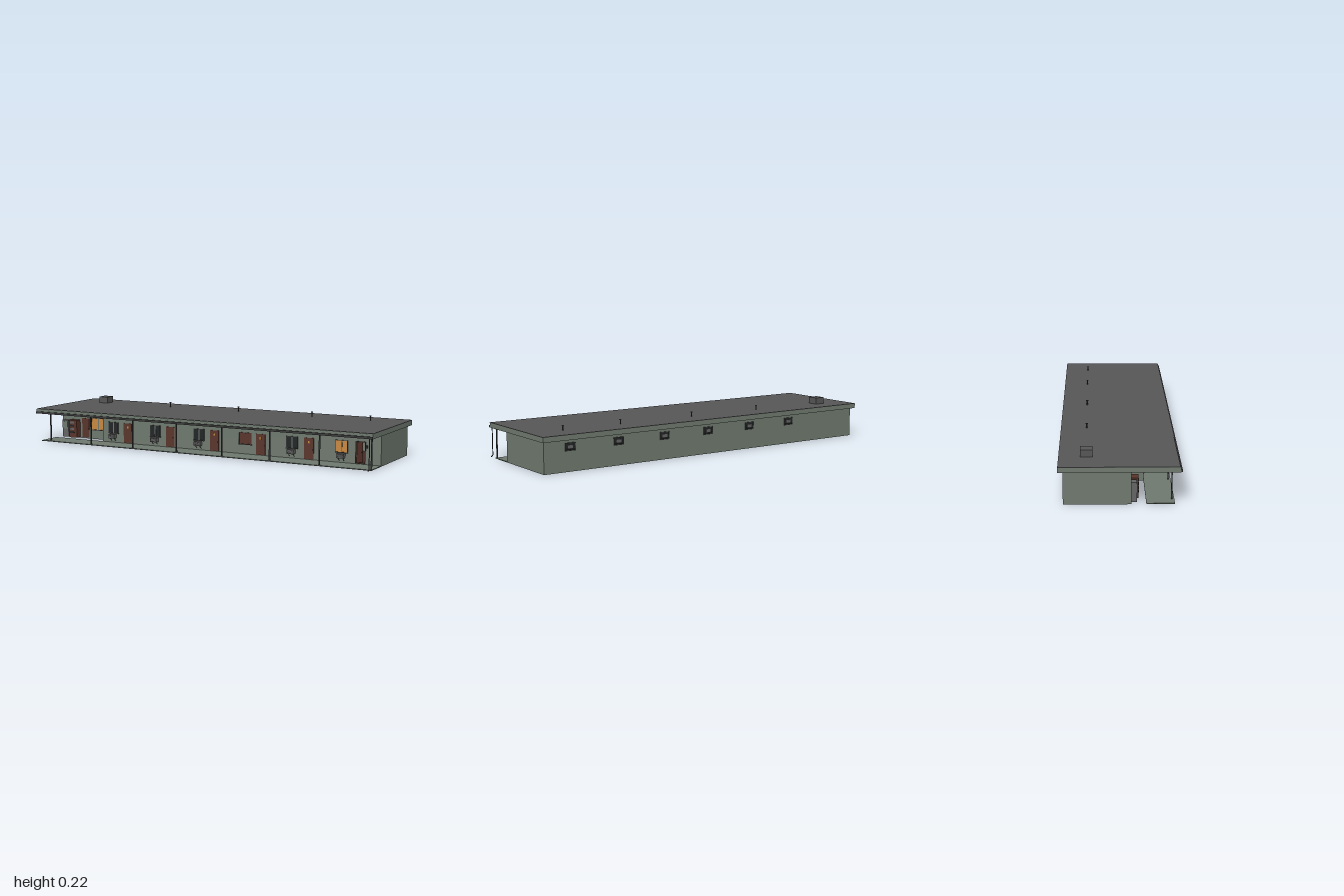
import * as THREE from 'three';

const mat = (name, color, side = THREE.FrontSide) => {
  const m = new THREE.MeshStandardMaterial({ color, side });
  m.name = name;
  return m;
};

export function createModel() {
  const wall = mat('wall green', 0x6f796f);
  const roofGrey = mat('roof grey', 0x565656);
  const metal = mat('dark metal', 0x3a3a3a);
  const grey = mat('appliance grey', 0x646464);
  const glass = mat('dark glass', 0x222526);
  const brown = mat('door brown', 0x5a352b);
  const amber = mat('warm light', 0xc98840);
  const floorBrown = mat('floor brown', 0x452a26);

  const model = new THREE.Group();
  model.name = 'roadsideLodge';

  const group = (name, x = 0, y = 0, z = 0) => {
    const g = new THREE.Group();
    g.name = name;
    g.position.set(x, y, z);
    model.add(g);
    return g;
  };
  // Box from its limits on each axis
  const box = (name, m, [x0, x1], [y0, y1], [z0, z1], parent = model) => {
    const mesh = new THREE.Mesh(new THREE.BoxGeometry(x1 - x0, y1 - y0, z1 - z0), m);
    mesh.name = name;
    mesh.position.set((x0 + x1) / 2, (y0 + y1) / 2, (z0 + z1) / 2);
    parent.add(mesh);
    return mesh;
  };
  // Round bar through a list of points
  const pipe = (name, m, points, r, parent = model) => {
    const path = new THREE.CurvePath();
    const v = points.map(p => new THREE.Vector3(...p));
    for (let i = 1; i < v.length; i++) path.add(new THREE.LineCurve3(v[i - 1], v[i]));
    const mesh = new THREE.Mesh(new THREE.TubeGeometry(path, 24, r, 8), m);
    mesh.name = name;
    parent.add(mesh);
    return mesh;
  };

  const END = 0.985, FRONT = 0.113, BACK = -0.27, ALCOVE = 0.045;
  const TOP = 0.159, START = -0.66, BAY = 0.273, T = 0.006;

  // Walls: the last room has an open doorway
  const s = new THREE.Shape();
  s.moveTo(START, 0);
  s.lineTo(END, 0);
  s.lineTo(END, TOP);
  s.lineTo(START, TOP);
  s.closePath();
  const h = new THREE.Path();
  h.moveTo(0.853, 0.006);
  h.lineTo(0.853, 0.115);
  h.lineTo(0.901, 0.115);
  h.lineTo(0.901, 0.006);
  h.closePath();
  s.holes.push(h);
  const front = new THREE.Mesh(new THREE.ExtrudeGeometry(s, { depth: T, bevelEnabled: false }), wall);
  front.name = 'frontWall';
  front.position.z = FRONT - T;
  model.add(front);
  box('backWall', wall, [-END, END], [0, TOP], [BACK, BACK + T]);
  box('leftEndWall', wall, [END - T, END], [0, TOP], [BACK + T, FRONT - T]);
  box('rightEndWall', wall, [-END, -END + T], [0, TOP], [BACK + T, ALCOVE]);
  box('alcoveWall', wall, [-END + T, START], [0, TOP], [ALCOVE - T, ALCOVE]);
  for (const x of [START, START + 5 * BAY]) {
    box('partition', wall, [x, x + T], [0, TOP], [BACK + T, FRONT - T]);
  }
  box('officeFloor', wall, [-END + T, START], [0, 0.004], [BACK + T, ALCOVE - T]);
  box('roomFloor', floorBrown, [START + T, START + 5 * BAY], [0, 0.004], [BACK + T, FRONT - T]);
  box('lastRoomFloor', floorBrown, [START + 5 * BAY + T, END - T], [0, 0.004], [BACK + T, FRONT - T]);

  // Walkway and posts
  box('walkway', wall, [-END, END], [0, 0.004], [FRONT, 0.245]);
  for (let i = 0; i < 8; i++) {
    const x = -0.93 + i * BAY;
    box('porchPost', metal, [x - 0.003, x + 0.003], [0.004, TOP], [0.23, 0.236]);
  }

  // Roof, gutter and downspout
  box('roofFascia', wall, [-1, 1], [0.158, 0.183], [-0.293, 0.27]);
  box('roofTop', roofGrey, [-1, 1], [0.183, 0.185], [-0.293, 0.267]);
  box('gutter', metal, [-1, 1], [0.159, 0.17], [0.27, 0.277]);
  pipe('downspout', metal, [[END, 0.162, 0.275], [END, 0.012, 0.275], [END, 0.003, 0.293]], 0.0025);

  // Roof box and vent pipes
  box('roofVentBox', roofGrey, [-0.852, -0.795], [0.184, 0.22], [-0.192, -0.133]);
  for (const x of [-0.385, 0.05, 0.49, 0.82]) {
    const g = group('ventPipe', x, 0.184, -0.163);
    pipe('ventStem', metal, [[0, 0, 0], [0, 0.025, 0]], 0.003, g);
    const cap = new THREE.Mesh(new THREE.CylinderGeometry(0.006, 0.006, 0.003, 10), metal);
    cap.name = 'ventCap';
    cap.position.y = 0.025;
    g.add(cap);
  }

  // Window with its bottom left corner at the group origin
  const addWindow = (x, y, z, w, hgt, pane) => {
    const g = group('window', x, y, z);
    const f = 0.002;
    box('paneLeft', pane, [f, w / 2 - 0.003], [f, hgt - f], [0, 0.002], g);
    box('paneRight', pane, [w / 2 + 0.003, w - f], [f, hgt - f], [0, 0.002], g);
    box('mullion', pane === brown ? brown : wall, [w / 2 - 0.003, w / 2 + 0.003], [f, hgt - f], [0, 0.003], g);
    for (const a of [0, w - f]) box('frameSide', metal, [a, a + f], [0, hgt], [0, 0.004], g);
    box('frameTop', metal, [0, w], [hgt - f, hgt], [0, 0.004], g);
    box('sill', metal, [-0.002, w + 0.002], [-f, f], [0, 0.007], g);
  };
  const addDoor = (x, z, w) => {
    const g = group('door', x, 0.006, z);
    box('doorLeaf', brown, [0, w], [0, 0.109], [0, 0.003], g);
    box('doorKnob', metal, [w - 0.008, w - 0.004], [0.048, 0.052], [0.003, 0.007], g);
    return g;
  };

  // Guest rooms
  const panes = [glass, glass, glass, brown, glass, amber];
  panes.forEach((pane, i) => {
    const x = START + i * BAY;
    addWindow(x + 0.04, 0.055, FRONT, pane === brown ? 0.074 : 0.064, 0.062, pane);

    if (i !== 3) {
      const ac = group('airConditioner', x + 0.072, 0, FRONT);
      box('coolerCase', grey, [-0.019, 0.019], [0.028, 0.051], [0, 0.026], ac);
      for (let k = 0; k < 4; k++) {
        box('coolerSlat', metal, [-0.015, 0.015], [0.032 + k * 0.0045, 0.034 + k * 0.0045], [0.026, 0.0265], ac);
      }
      for (const a of [-0.013, 0.013]) {
        pipe('coolerBracket', metal, [[a, 0.013, 0], [a, 0.028, 0.018]], 0.001, ac);
      }
    }

    if (i < 5) {
      const d = addDoor(x + 0.14, FRONT, 0.053);
      if (i !== 1) box('doorLight', amber, [0.022, 0.031], [0.082, 0.094], [0.003, 0.004], d);
    }

    // High bathroom window on the back
    const b = group('backWindow', x + BAY / 2, 0, BACK);
    box('backPane', glass, [-0.026, 0.026], [0.104, 0.14], [-0.002, 0], b);
    for (const a of [-0.028, 0.025]) box('backFrameSide', metal, [a, a + 0.003], [0.102, 0.142], [-0.005, 0], b);
    box('backFrameTop', metal, [-0.028, 0.028], [0.139, 0.142], [-0.006, 0], b);
    box('backFrameBottom', metal, [-0.028, 0.028], [0.102, 0.105], [-0.005, 0], b);
    box('backFan', grey, [-0.014, 0.014], [0.114, 0.13], [-0.005, -0.002], b);
    box('backLedge', metal, [-0.022, 0.022], [0.109, 0.112], [-0.012, 0], b);
  });

  // Open door of the last room, with a lamp beside it
  const open = addDoor(0.853, FRONT - 0.004, 0.046);
  open.rotation.y = 1.25;
  for (const x of [0.85, 0.901]) box('openDoorFrame', metal, [x, x + 0.003], [0.006, 0.118], [FRONT, FRONT + 0.003]);
  box('openDoorHead', metal, [0.853, 0.901], [0.115, 0.118], [FRONT, FRONT + 0.003]);
  box('wallLamp', metal, [0.907, 0.915], [0.086, 0.1], [FRONT, FRONT + 0.008]);

  // Alcove: ice chest, drinks machine, office door and lit window
  box('iceMachine', grey, [-0.97, -0.928], [0.004, 0.1], [ALCOVE, 0.07]);
  box('iceMachineHatch', wall, [-0.965, -0.933], [0.05, 0.092], [0.07, 0.072]);
  box('drinksMachine', brown, [-0.917, -0.864], [0.004, 0.104], [ALCOVE, 0.08]);
  for (let r = 0; r < 4; r++) {
    box('machineShelf', r % 2 ? grey : glass, [-0.911, -0.882], [0.03 + r * 0.018, 0.041 + r * 0.018], [0.08, 0.081]);
  }
  box('machineCoinPanel', metal, [-0.876, -0.868], [0.045, 0.085], [0.08, 0.081]);
  addDoor(-0.848, ALCOVE, 0.048);
  addWindow(-0.783, 0.052, ALCOVE, 0.096, 0.068, amber);
  box('alcoveVent', grey, [-0.855, -0.79], [0.13, 0.158], [ALCOVE, 0.055]);

  return model;
}
